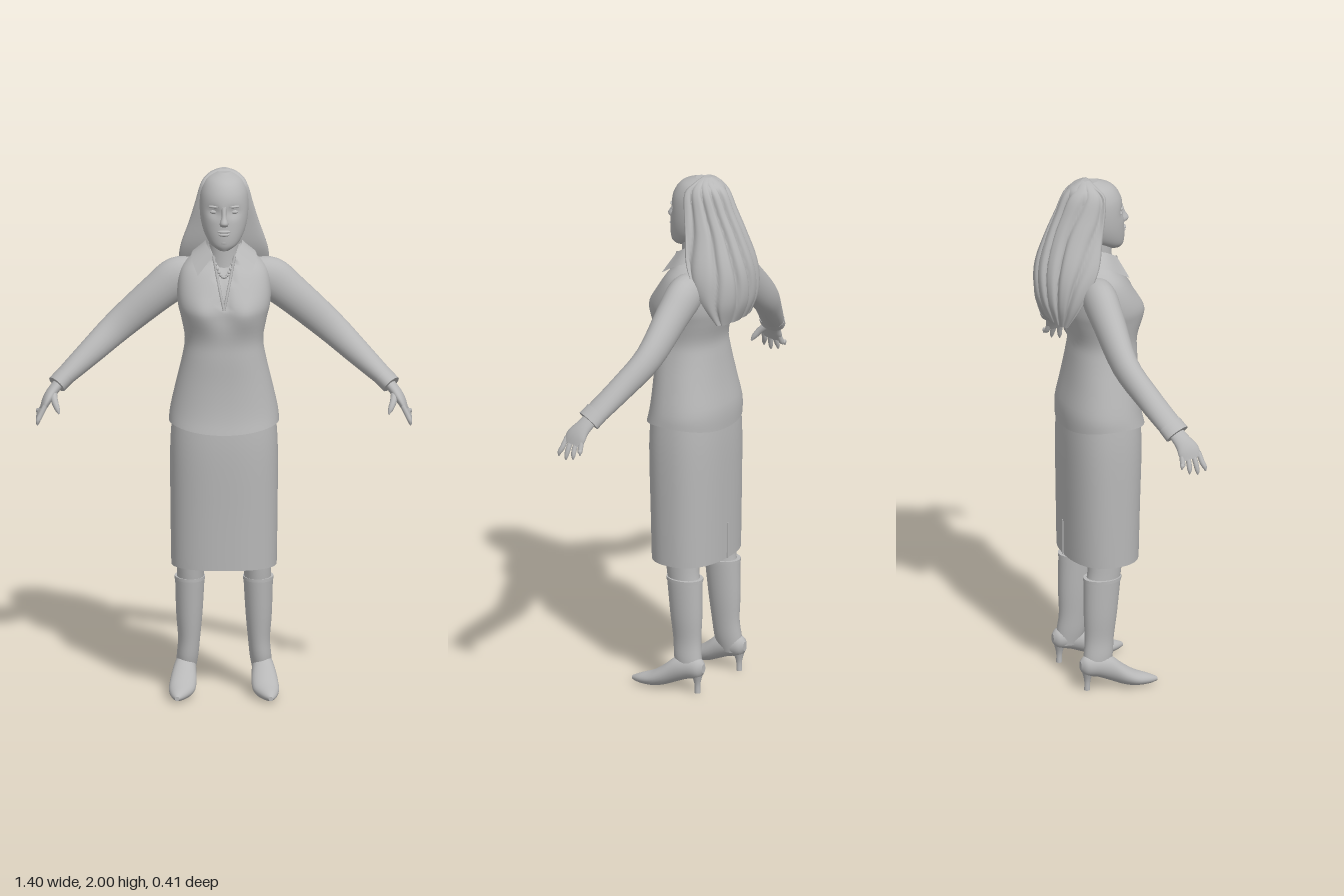
import * as THREE from 'three';

const V = (x, y, z) => new THREE.Vector3(x, y, z);
const UP = V(0, 1, 0), FRONT = V(0, 0, 1);

// Smooth interpolation of section rows [x, y, z, a, b]
function refine(rows, k) {
  const out = [], at = i => rows[Math.min(rows.length - 1, Math.max(0, i))];
  for (let i = 0; i < rows.length - 1; i++) {
    for (let j = 0; j < k; j++) {
      const t = j / k;
      out.push(rows[i].map((p1, d) => {
        const p0 = at(i - 1)[d], p2 = at(i + 1)[d], p3 = at(i + 2)[d];
        return 0.5 * (2 * p1 + (p2 - p0) * t + (2 * p0 - 5 * p1 + 4 * p2 - p3) * t * t
          + (3 * p1 - p0 - 3 * p2 + p3) * t * t * t);
      }));
    }
  }
  out.push(rows[rows.length - 1]);
  return out;
}

// Skin rounded sections; b runs along ref, a runs across it
function loft(rows, { ref = FRONT, axis, n = 24, k = 4, power = 2, caps = true, shape, warp } = {}) {
  const secs = refine(rows, k), pos = [], idx = [], m = secs.length;
  const centre = i => V(...secs[Math.min(m - 1, Math.max(0, i))].slice(0, 3));
  for (let i = 0; i < m; i++) {
    const c = centre(i), [, , , a, b] = secs[i];
    const T = axis || centre(i + 1).sub(centre(i - 1)).normalize();
    const B = ref.clone().addScaledVector(T, -T.dot(ref)).normalize();
    const A = B.clone().cross(T);
    for (let j = 0; j < n; j++) {
      const th = j / n * Math.PI * 2, e = 2 / power;
      let u = Math.sign(Math.cos(th)) * Math.abs(Math.cos(th)) ** e;
      let v = Math.sign(Math.sin(th)) * Math.abs(Math.sin(th)) ** e;
      if (shape) [u, v] = shape(u, v, th, i / (m - 1));
      const p = c.clone().addScaledVector(A, u * a).addScaledVector(B, v * b);
      if (warp) warp(p);
      pos.push(p.x, p.y, p.z);
    }
  }
  for (let i = 0; i < m - 1; i++) for (let j = 0; j < n; j++) {
    const p = i * n + j, q = i * n + (j + 1) % n;
    idx.push(p, q, p + n, q, q + n, p + n);
  }
  if (caps) for (const i of [0, m - 1]) {
    const start = pos.length / 3, c = centre(i);
    pos.push(...pos.slice(i * n * 3, (i + 1) * n * 3), c.x, c.y, c.z);
    for (let j = 0; j < n; j++) {
      const p = start + j, q = start + (j + 1) % n;
      idx.push(...(i ? [p, q, start + n] : [q, p, start + n]));
    }
  }
  const g = new THREE.BufferGeometry();
  g.setAttribute('position', new THREE.Float32BufferAttribute(pos, 3));
  g.setIndex(idx);
  g.computeVertexNormals();
  return g;
}

// Strip between two smooth curves
function strip(inner, outer, n = 16) {
  const curves = [inner, outer].map(c => new THREE.CatmullRomCurve3(c));
  const g = new THREE.PlaneGeometry(1, 1, n, 1), p = g.attributes.position;
  for (let r = 0; r < 2; r++) for (let i = 0; i <= n; i++) {
    const q = curves[r].getPoint(i / n);
    p.setXYZ(r * (n + 1) + i, q.x, q.y, q.z);
  }
  g.computeVertexNormals();
  return g;
}

export function createModel() {
  const model = new THREE.Group();
  model.name = 'standingWoman';
  const grey = new THREE.MeshStandardMaterial({ color: 0xb8b8b8, side: THREE.DoubleSide });
  grey.name = 'plain grey';
  const add = (name, geo) => {
    const mesh = new THREE.Mesh(geo, grey);
    mesh.name = name;
    model.add(mesh);
    return mesh;
  };
  const blob = (name, x, y, z, a, b, c) => {
    const mesh = add(name, new THREE.SphereGeometry(1, 16, 12));
    mesh.position.set(x, y, z);
    mesh.scale.set(a, b, c);
    return mesh;
  };
  const bump = (d, w) => Math.exp(-(d * d) / (w * w));

  // Fitted jacket with bust, open neck and a hem dipping at front and back
  add('jacket', loft([
    [0, 1.045, 0.048, 0.205, 0.153], [0, 1.1, 0.041, 0.2, 0.146], [0, 1.2, 0.047, 0.178, 0.133],
    [0, 1.3, 0.055, 0.155, 0.125], [0, 1.37, 0.058, 0.146, 0.122], [0, 1.45, 0.054, 0.16, 0.14],
    [0, 1.5, 0.048, 0.172, 0.145], [0, 1.56, 0.034, 0.174, 0.13], [0, 1.62, 0.02, 0.163, 0.105],
    [0, 1.66, 0.01, 0.132, 0.082], [0, 1.69, 0.012, 0.085, 0.07], [0, 1.72, 0.015, 0.06, 0.055],
  ], {
    axis: UP, n: 64, power: 2.3, caps: false,
    warp: p => {
      if (p.y < 1.1) p.y += (1.1 - p.y) / 0.055 * (0.025 * (p.x / 0.2) ** 2 - 0.02);
      if (p.z > 0.06) {
        p.z += bump(p.y - 1.48, 0.06) * (0.012 * bump(Math.abs(p.x) - 0.085, 0.045) - 0.012 * bump(p.x, 0.04));
        if (p.y > 1.5 && Math.abs(p.x) < (p.y - 1.5) * 0.21) p.z -= 0.012;
      }
    },
  }));

  // Straight skirt with a back vent
  add('skirt', loft([
    [0, 0.5, 0.04, 0.196, 0.136], [0, 0.7, 0.041, 0.199, 0.14],
    [0, 0.95, 0.043, 0.2, 0.145], [0, 1.1, 0.042, 0.19, 0.138],
  ], { axis: UP, n: 48, power: 2.4, caps: false }));
  const vent = add('skirtVent', new THREE.BoxGeometry(0.004, 0.14, 0.008));
  vent.position.set(0, 0.57, -0.097);

  // Neck and head
  add('neck', loft([[0, 1.58, 0.03, 0.075, 0.07], [0, 1.67, 0.035, 0.057, 0.058], [0, 1.78, 0.04, 0.055, 0.055]], { axis: UP }));
  add('head', loft([
    [0, 1.715, 0.105, 0.02, 0.025], [0, 1.735, 0.087, 0.05, 0.053], [0, 1.77, 0.057, 0.073, 0.086],
    [0, 1.82, 0.04, 0.087, 0.1], [0, 1.88, 0.03, 0.091, 0.106], [0, 1.93, 0.02, 0.086, 0.105],
    [0, 1.97, 0.01, 0.066, 0.085], [0, 1.993, 0, 0.025, 0.04],
  ], {
    axis: UP, n: 48, k: 6,
    warp: p => {
      if (p.z > 0.06) p.z -= 0.012 * bump(p.y - 1.862, 0.02) * bump(Math.abs(p.x) - 0.036, 0.024);
    },
  }));
  add('nose', loft([
    [0, 1.885, 0.13, 0.009, 0.008], [0, 1.85, 0.138, 0.009, 0.012],
    [0, 1.825, 0.143, 0.016, 0.021], [0, 1.812, 0.137, 0.014, 0.014],
  ], { axis: V(0, -1, 0), n: 16 }));
  blob('upperLip', 0, 1.792, 0.14, 0.025, 0.006, 0.011);
  blob('lowerLip', 0, 1.78, 0.138, 0.021, 0.007, 0.011);
  blob('chin', 0, 1.75, 0.123, 0.026, 0.02, 0.02);

  // Long hair falling behind the shoulders in ridged locks
  add('hair', loft([
    [0, 2.0, 0, 0.015, 0.025], [0, 1.985, 0.01, 0.055, 0.065], [0, 1.95, 0.03, 0.087, 0.125],
    [0, 1.88, 0.02, 0.107, 0.145], [0, 1.8, 0, 0.13, 0.16], [0, 1.7, -0.025, 0.162, 0.17],
    [0, 1.62, -0.06, 0.168, 0.145], [0, 1.54, -0.095, 0.152, 0.1], [0, 1.465, -0.125, 0.115, 0.035],
  ], {
    axis: V(0, -1, 0), n: 160,
    shape: (u, v, th, t) => {
      const wave = th * 6.5 + 1.2 * Math.sin(t * 5 + th * 2);
      const lock = 1 - 0.13 * Math.min(1, t * 4) * (1 - Math.abs(Math.sin(wave))) ** 2;
      return v > 0 ? [u, v * 0.2] : [u * lock, v * lock];
    },
  }));

  // Beaded necklace
  for (let i = -6; i <= 6; i++) {
    const t = i / 6;
    blob('necklaceBead', 0.037 * t, 1.615 + 0.065 * t * t, 0.13 - 0.032 * t * t, 0.006, 0.006, 0.006);
  }

  for (const s of [1, -1]) {
    const side = s > 0 ? 'left' : 'right';
    const flip = rows => rows.map(([x, ...r]) => [x * s, ...r]);
    const pts = rows => rows.map(([x, y, z]) => V(x * s, y, z));

    // Eye and brow
    blob(side + 'Eye', s * 0.036, 1.862, 0.113, 0.017, 0.008, 0.01);
    blob(side + 'Brow', s * 0.038, 1.883, 0.12, 0.022, 0.005, 0.008).rotation.y = s * 0.35;

    // Pointed collar and neckline edge
    add(side + 'Collar', strip(
      pts([[0, 1.74, -0.045], [0.055, 1.738, -0.02], [0.066, 1.725, 0.04], [0.04, 1.69, 0.1]]),
      pts([[0, 1.69, -0.085], [0.09, 1.69, -0.05], [0.122, 1.678, 0.03], [0.098, 1.62, 0.13]])));
    add(side + 'Neckline', new THREE.TubeGeometry(new THREE.CatmullRomCurve3(
      pts([[0.04, 1.69, 0.098], [0.026, 1.62, 0.125], [0.013, 1.56, 0.163], [0, 1.5, 0.184]])), 16, 0.005, 6));

    // Sleeve and cuff
    add(side + 'Sleeve', loft(flip([
      [0.1, 1.6, -0.015, 0.055, 0.058], [0.17, 1.58, -0.017, 0.078, 0.064], [0.25, 1.52, -0.014, 0.071, 0.06],
      [0.39, 1.4, -0.004, 0.06, 0.049], [0.5, 1.305, 0.045, 0.048, 0.047], [0.61, 1.212, 0.103, 0.034, 0.047],
    ])));
    add(side + 'Cuff', loft(flip([
      [0.592, 1.228, 0.094, 0.037, 0.049], [0.622, 1.2, 0.111, 0.036, 0.05],
    ])));

    // Hand with spread fingers and thumb
    add(side + 'Palm', loft(flip([
      [0.605, 1.215, 0.1, 0.02, 0.03], [0.64, 1.175, 0.125, 0.02, 0.034],
      [0.66, 1.145, 0.14, 0.017, 0.043], [0.674, 1.115, 0.147, 0.011, 0.04],
    ])));
    [[-0.033, 1.085], [-0.011, 1.063], [0.012, 1.056], [0.034, 1.066]].forEach(([o, y]) => {
      add(side + 'Finger', loft(flip([
        [0.665, 1.135, 0.145 + o, 0.009, 0.009], [0.683, 1.1, 0.147 + o * 1.15, 0.01, 0.01],
        [0.692, y + 0.015, 0.148 + o * 1.35, 0.008, 0.008], [0.694, y, 0.148 + o * 1.4, 0.002, 0.002],
      ]), { n: 10 }));
    });
    add(side + 'Thumb', loft(flip([
      [0.635, 1.175, 0.14, 0.014, 0.014], [0.63, 1.15, 0.17, 0.013, 0.013],
      [0.62, 1.125, 0.19, 0.01, 0.01], [0.613, 1.108, 0.199, 0.003, 0.003],
    ]), { n: 10 }));

    // Leg inside the skirt
    add(side + 'Leg', loft(flip([
      [0.125, 0.42, 0.01, 0.05, 0.065], [0.122, 0.52, 0.022, 0.053, 0.067], [0.1, 0.85, 0.035, 0.08, 0.09],
    ]), { axis: UP }));

    // High-heeled boot: shaft, rim, foot and heel
    add(side + 'BootShaft', loft(flip([
      [0.14, 0.075, -0.022, 0.034, 0.05], [0.136, 0.13, -0.012, 0.04, 0.056], [0.13, 0.2, -0.005, 0.041, 0.056],
      [0.129, 0.3, 0, 0.049, 0.064], [0.127, 0.44, 0.008, 0.055, 0.071],
    ]), { axis: UP }));
    add(side + 'BootRim', loft(flip([
      [0.127, 0.432, 0.008, 0.057, 0.073], [0.127, 0.444, 0.008, 0.057, 0.073],
    ]), { axis: UP }));
    add(side + 'BootFoot', loft(flip([
      [0.14, 0.1, -0.084, 0.012, 0.018], [0.141, 0.098, -0.065, 0.032, 0.038], [0.143, 0.095, -0.02, 0.039, 0.045],
      [0.147, 0.08, 0.03, 0.044, 0.05], [0.152, 0.05, 0.08, 0.05, 0.04], [0.158, 0.031, 0.125, 0.047, 0.029],
      [0.168, 0.022, 0.175, 0.028, 0.019], [0.174, 0.018, 0.208, 0.008, 0.008],
    ]), { ref: UP, axis: FRONT, warp: p => { p.y = Math.max(p.y, 0); } }));
    add(side + 'BootHeel', loft(flip([
      [0.141, 0, -0.058, 0.011, 0.011], [0.141, 0.04, -0.057, 0.012, 0.012], [0.141, 0.09, -0.055, 0.03, 0.027],
    ]), { axis: UP, n: 16 }));
  }
  return model;
}
